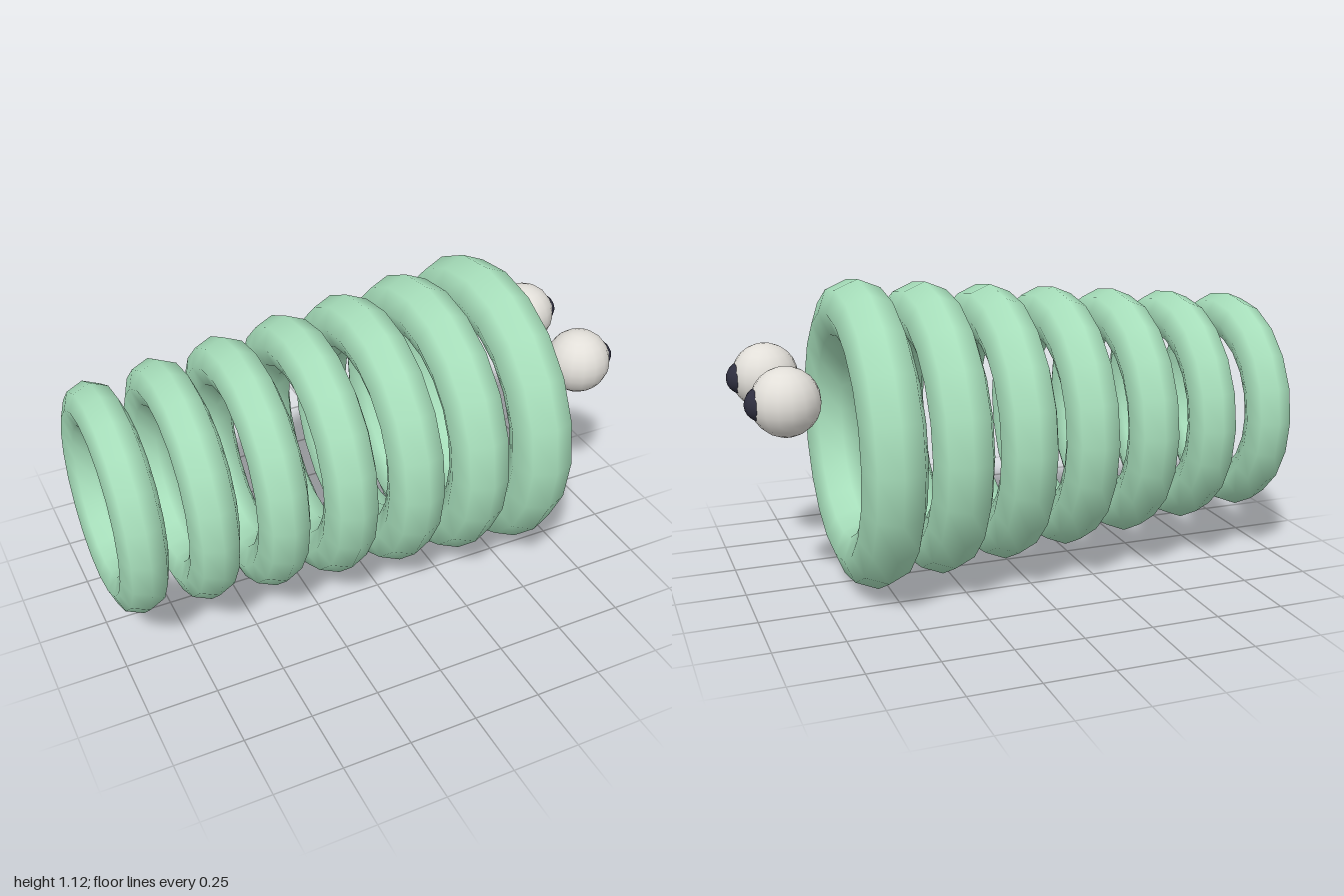
import * as THREE from 'three';

const RING_COUNT = 7;
const CENTRE_Y = 0.56;

function material(name, color) {
  const m = new THREE.MeshStandardMaterial({ color });
  m.name = name;
  return m;
}

export function createModel() {
  const model = new THREE.Group();
  model.name = 'ringCaterpillar';

  const green = material('mint green', 0xa8e0bc);
  const white = material('eye white', 0xe2dfd9);
  const dark = material('pupil dark', 0x2f2f40);

  const add = (parent, name, geometry, mat, x, y, z) => {
    const mesh = new THREE.Mesh(geometry, mat);
    mesh.name = name;
    mesh.position.set(x, y, z);
    parent.add(mesh);
  };

  // Body: separate rings along x, growing towards the head
  const body = new THREE.Group();
  body.name = 'body';
  model.add(body);
  for (let i = 0; i < RING_COUNT; i++) {
    const t = i / (RING_COUNT - 1);
    const outer = THREE.MathUtils.lerp(0.42, 0.56, t);
    const tube = THREE.MathUtils.lerp(0.086, 0.115, t);
    const ring = new THREE.TorusGeometry(outer - tube, tube, 8, 20).rotateY(Math.PI / 2);
    add(body, `bodyRing${i + 1}`, ring, green, THREE.MathUtils.lerp(-0.913, 0.555, t), CENTRE_Y, 0);
  }

  // Eyes: a ball with a smaller ball set into its front
  const eyeball = new THREE.SphereGeometry(0.12, 16, 12);
  const pupil = new THREE.SphereGeometry(0.06, 12, 10);
  for (const side of [1, -1]) {
    const eye = new THREE.Group();
    eye.name = side > 0 ? 'frontEye' : 'backEye';
    eye.position.set(0.86, 0.755, side * 0.196);
    add(eye, 'eyeball', eyeball, white, 0, 0, 0);
    add(eye, 'pupil', pupil, dark, 0.08, 0, 0);
    model.add(eye);
  }

  return model;
}
